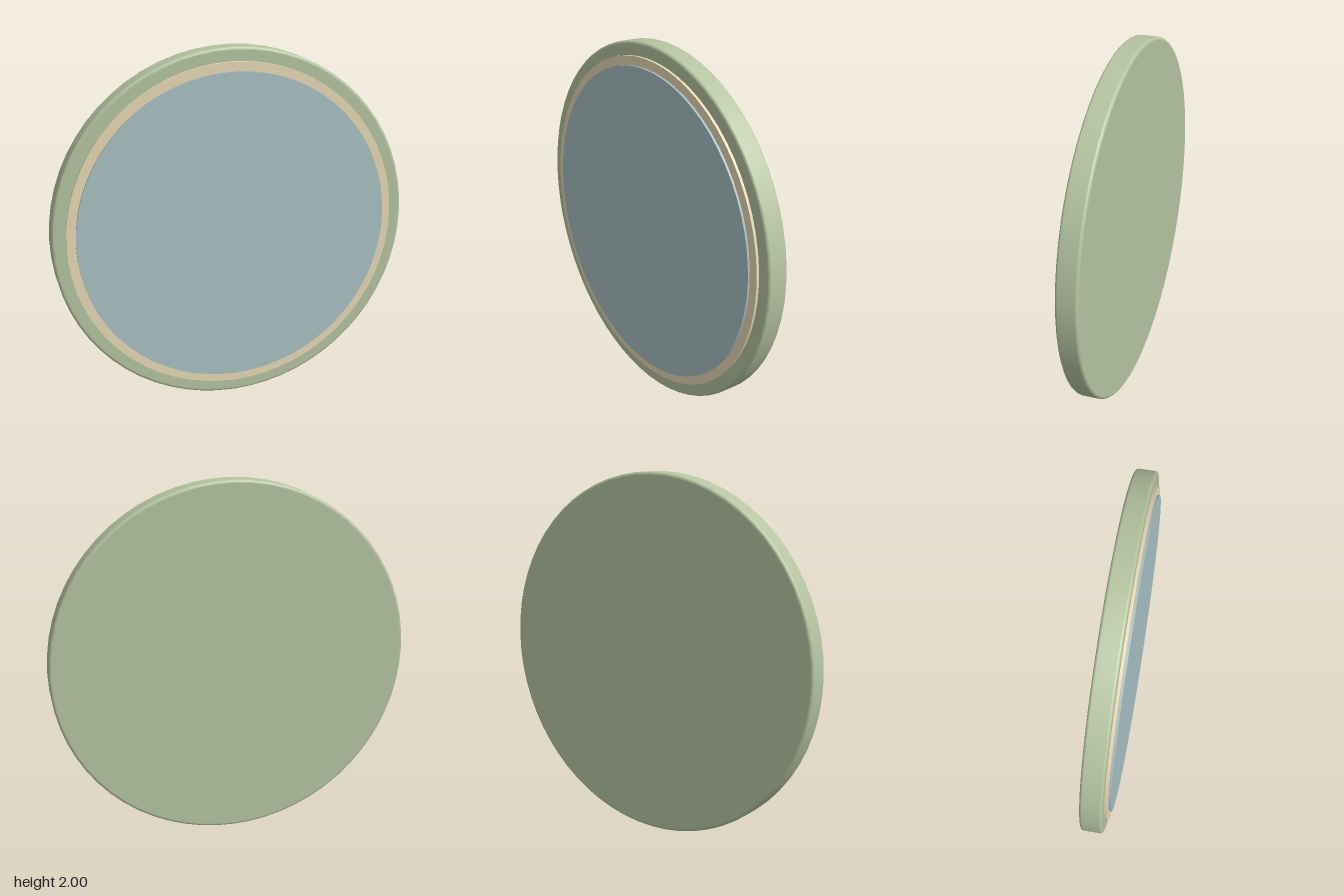
import * as THREE from 'three';

const SEGMENTS = 64;

// Round plate facing +z, with a softened rim of the given bevel
function plate(name, color, radius, back, front, bevel) {
  const profile = [new THREE.Vector2(0, back), new THREE.Vector2(radius - bevel - 0.002, back)];
  const steps = 4;
  const corner = (z, start) => {
    for (let i = 0; i <= steps; i++) {
      const a = start + (i / steps) * Math.PI / 2;
      profile.push(new THREE.Vector2(radius - bevel + bevel * Math.cos(a), z + bevel * Math.sin(a)));
    }
  };
  corner(back + bevel, -Math.PI / 2);
  corner(front - bevel, 0);
  profile.push(new THREE.Vector2(radius - bevel - 0.002, front), new THREE.Vector2(0, front));
  const geometry = new THREE.LatheGeometry(profile, SEGMENTS);
  geometry.rotateX(Math.PI / 2);
  return named(name, color, geometry);
}

// Sharp-edged thin disc facing +z
function disc(name, color, radius, back, front) {
  const geometry = new THREE.CylinderGeometry(radius, radius, front - back, SEGMENTS);
  geometry.rotateX(Math.PI / 2).translate(0, 0, (front + back) / 2);
  return named(name, color, geometry);
}

function named(name, color, geometry) {
  const mesh = new THREE.Mesh(geometry, new THREE.MeshStandardMaterial({ color }));
  mesh.name = name;
  mesh.position.y = 1;
  return mesh;
}

export function createModel() {
  const group = new THREE.Group();
  group.name = 'roundMirror';
  group.add(
    plate('frame', 0xb5c4a1, 1, -0.072, 0.045, 0.015), // thick backing and outer frame
    disc('trimRing', 0xe8d9b5, 0.925, 0.035, 0.06),    // raised trim
    disc('glass', 0xa9c0c3, 0.875, 0.05, 0.072)        // front pane
  );
  return group;
}
